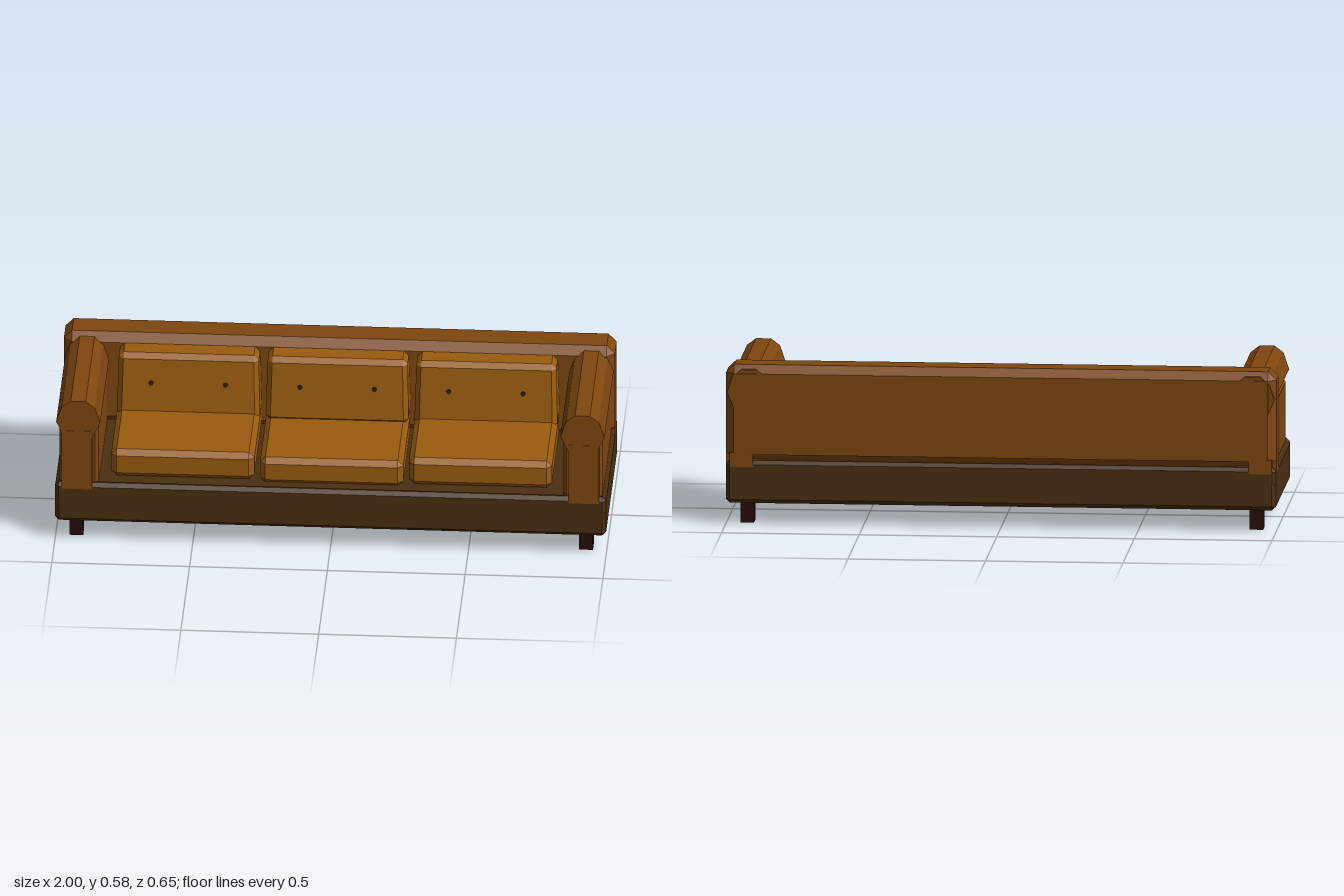
import * as THREE from 'three';
import { ConvexGeometry } from 'three/addons/geometries/ConvexGeometry.js';

const material = (name, color) => Object.assign(new THREE.MeshStandardMaterial({ color }), { name });

// Box between two corners with all edges cut at 45 degrees; warp may move the points
function chamferBox([x0, y0, z0], [x1, y1, z1], c, warp) {
  const pts = [];
  for (const [x, sx] of [[x0, 1], [x1, -1]])
    for (const [y, sy] of [[y0, 1], [y1, -1]])
      for (const [z, sz] of [[z0, 1], [z1, -1]]) {
        pts.push(
          new THREE.Vector3(x, y + sy * c, z + sz * c),
          new THREE.Vector3(x + sx * c, y, z + sz * c),
          new THREE.Vector3(x + sx * c, y + sy * c, z));
      }
  if (warp) pts.forEach(warp);
  return new ConvexGeometry(pts);
}

function box([x0, y0, z0], [x1, y1, z1]) {
  return new THREE.BoxGeometry(x1 - x0, y1 - y0, z1 - z0)
    .translate((x0 + x1) / 2, (y0 + y1) / 2, (z0 + z1) / 2);
}

export function createModel() {
  const sofa = new THREE.Group();
  sofa.name = 'sofa';
  const base = material('dark brown base', 0x4a2e10);
  const frame = material('brown leather', 0x7e470f);
  const cushion = material('tan leather', 0x9a5c0e);
  const wood = material('leg wood', 0x260d0c);
  const dark = material('button brown', 0x2e1c0a);

  const add = (name, geometry, mat, parent = sofa) => {
    const mesh = new THREE.Mesh(geometry, mat);
    mesh.name = name;
    parent.add(mesh);
    return mesh;
  };

  // Plinth with raised front and back rails and a seat deck
  add('plinth', chamferBox([-1, 0.078, -0.327], [1, 0.23, 0.327], 0.015), base);
  add('frontRail', chamferBox([-1, 0.16, 0.291], [1, 0.235, 0.327], 0.014), base);
  add('backRail', chamferBox([-1, 0.16, -0.327], [1, 0.235, -0.291], 0.014), base);

  // Back rest with a recessed slot under it
  add('backRest', chamferBox([-1, 0.225, -0.3], [1, 0.585, -0.172], 0.03), frame);
  add('backPanel', chamferBox([-1, 0.255, -0.327], [1, 0.585, -0.172], 0.03, (p) => {
    if (p.y < 0.3) p.y = 0.258;
  }), frame);

  // Octagonal roll on top of each arm
  const roll = new THREE.Shape([
    [0.965, 0.42], [0.995, 0.485], [0.975, 0.545], [0.942, 0.57],
    [0.888, 0.57], [0.855, 0.545], [0.835, 0.485], [0.865, 0.42],
  ].map(([x, y]) => new THREE.Vector2(x, y)));

  for (const side of [-1, 1]) {
    const arm = new THREE.Group();
    arm.name = side > 0 ? 'leftArm' : 'rightArm';
    sofa.add(arm);
    const span = (a, b) => (side > 0 ? [a, b] : [-b, -a]);

    const rollMesh = add('armRoll', new THREE.ExtrudeGeometry(roll, { depth: 0.652, bevelEnabled: false })
      .translate(side > 0 ? 0 : -1.83, 0, -0.326), frame, arm);
    rollMesh.name = 'armRoll';

    let [a, b] = span(0.865, 0.975);
    add('armPost', box([a, 0.213, 0.26], [b, 0.45, 0.3275]), frame, arm);
    [a, b] = span(0.843, 0.985);
    add('armPanel', chamferBox([a, 0.2, -0.28], [b, 0.457, 0.303], 0.012), frame, arm);

    // Rear corner post and block beside the slot
    [a, b] = span(0.9, 1);
    add('rearPost', box([a, 0.213, -0.297], [b, 0.5, -0.203]), frame, arm);
    [a, b] = span(0.9, 0.985);
    add('rearBlock', box([a, 0.213, -0.3272], [b, 0.265, -0.29]), frame, arm);

    // Legs
    [a, b] = span(0.9, 0.95);
    for (const z of [-0.278, 0.224])
      add('leg', box([a, 0, z], [b, 0.082, z + 0.054]), wood);
  }

  // Three seat cushions with leaning, buttoned back cushions
  const places = [
    { x: -0.54, half: 0.26, low: 0.235, top: 0.343 },
    { x: 0, half: 0.26, low: 0.224, top: 0.327 },
    { x: 0.54, half: 0.26, low: 0.235, top: 0.343 },
  ];
  const frontZ = (y) => -0.052 - (y - 0.33) * 0.13;
  for (const { x, half, low, top } of places) {
    add('seatCushion', chamferBox([x - half, low, -0.17], [x + half, top, 0.27], 0.02), cushion);
    add('backCushion', chamferBox([x - half, 0.315, -0.185], [x + half, 0.558, -0.05], 0.018, (p) => {
      if (p.z > -0.12) p.z -= (p.y - 0.33) * 0.13;
      p.x = x + (p.x - x) * (1 - (p.y - 0.315) * 0.1);
    }), cushion);
    for (const dx of [-0.135, 0.135]) {
      const button = add('button', new THREE.CylinderGeometry(0.009, 0.009, 0.008, 8), dark);
      button.rotation.x = Math.PI / 2 - 0.13;
      button.position.set(x + dx, 0.45, frontZ(0.45) + 0.003);
    }
  }
  return sofa;
}
